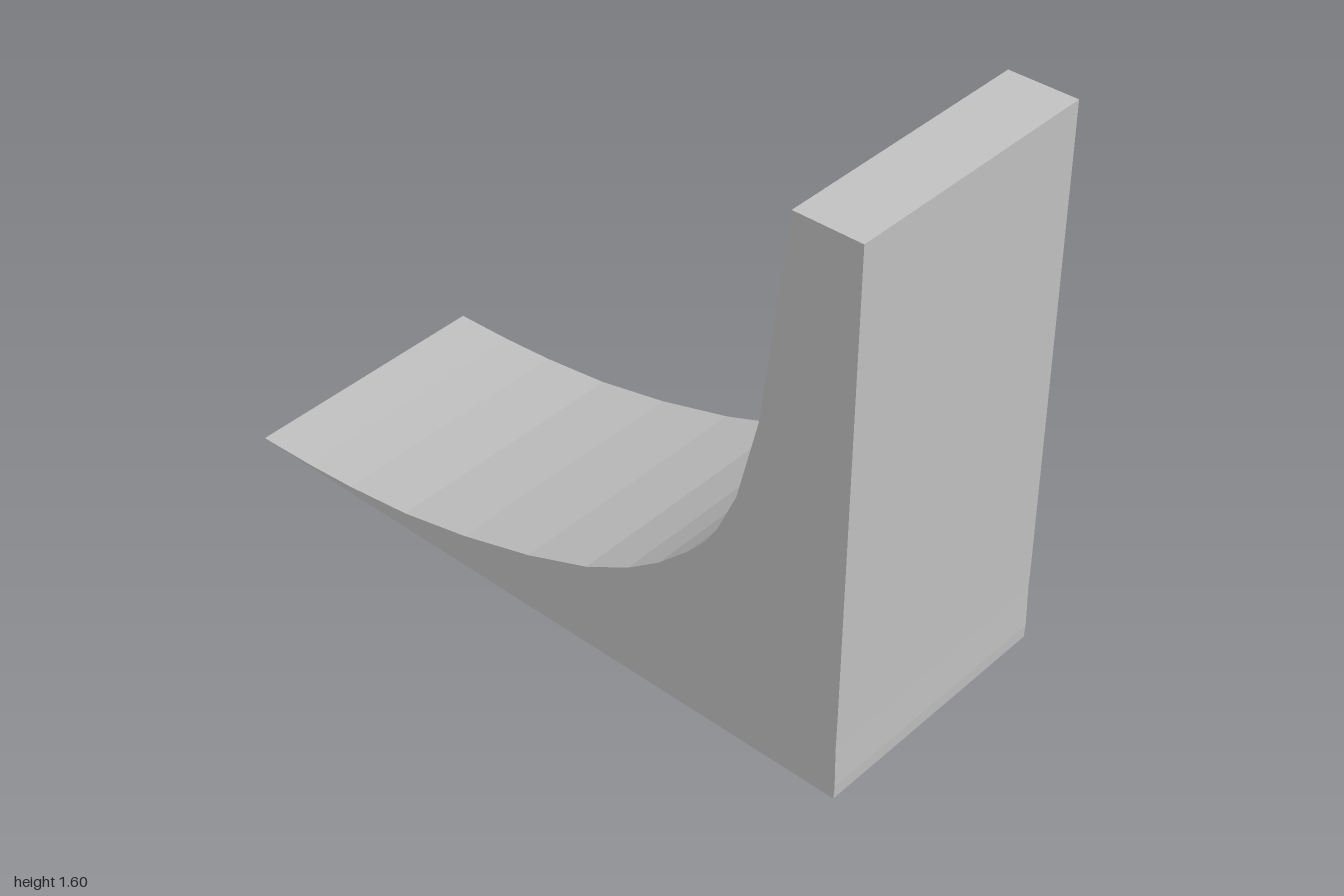
import * as THREE from 'three';

const WIDTH = 0.775;

// Side outline as [z, y], from the front foot, along the base and up the curve
const PROFILE = [
  [0.998, 0], [-1, 0.05],
  // riding curve, rising from the thin lip to the deck
  [-0.82, 0.053], [-0.66, 0.062], [-0.45, 0.085], [-0.23, 0.13], [0, 0.195],
  [0.2, 0.27], [0.34, 0.347], [0.44, 0.42], [0.53, 0.505], [0.58, 0.562],
  [0.62, 0.625], [0.675, 0.75], [0.735, 1.0], [0.77, 1.3], [0.805, 1.6],
  // deck and slightly uneven front wall
  [1, 1.6], [0.998, 0.26], [0.997, 0.16], [1, 0.04],
];

export function createModel() {
  const model = new THREE.Group();
  model.name = 'quarterPipe';

  const concrete = new THREE.MeshStandardMaterial({ color: 0xc0c0c0 });
  concrete.name = 'grey concrete';

  // Solid ramp: the outline is drawn in z and y, then extruded across the width
  const outline = new THREE.Shape(PROFILE.map(([z, y]) => new THREE.Vector2(z, y)));
  const geometry = new THREE.ExtrudeGeometry(outline, { depth: WIDTH, bevelEnabled: false });
  geometry.translate(0, 0, -WIDTH / 2);
  geometry.rotateY(-Math.PI / 2);

  const ramp = new THREE.Mesh(geometry, concrete);
  ramp.name = 'ramp';
  model.add(ramp);
  return model;
}
